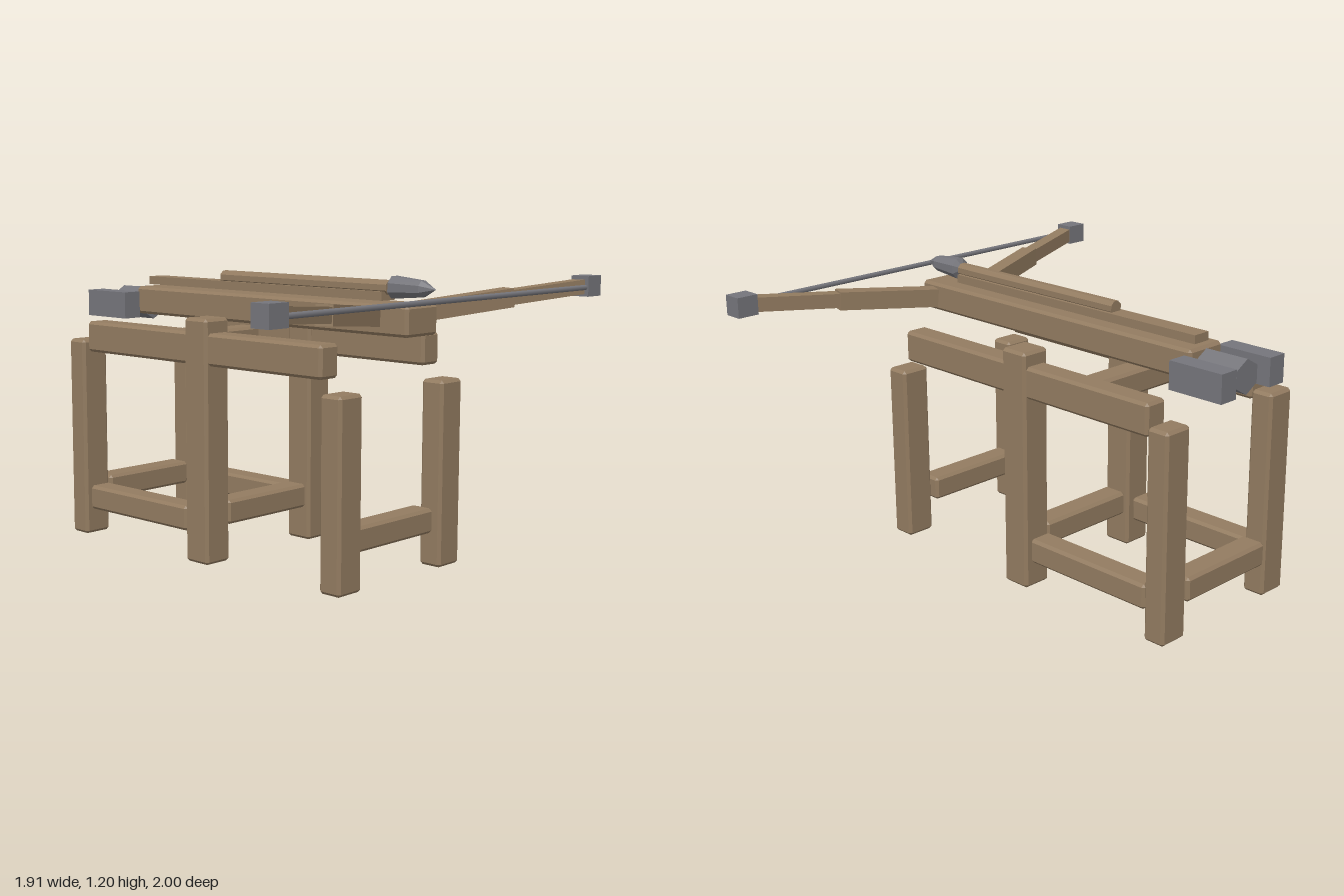
import * as THREE from 'three';
import { ConvexGeometry } from 'three/addons/geometries/ConvexGeometry.js';

export function createModel() {
  const model = new THREE.Group();
  model.name = 'siegeCrossbow';

  const wood = new THREE.MeshStandardMaterial({ color: 0x927b60 });
  wood.name = 'wood';
  const metal = new THREE.MeshStandardMaterial({ color: 0x75757b });
  metal.name = 'metal';

  function add(name, geometry, material, x = 0, y = 0, z = 0) {
    const mesh = new THREE.Mesh(geometry, material);
    mesh.name = name;
    mesh.position.set(x, y, z);
    model.add(mesh);
    return mesh;
  }

  const faceted = (geometry) => {
    const flat = geometry.toNonIndexed();
    flat.computeVertexNormals();
    return flat;
  };

  // Timber with chamfered edges, given by its extents on each axis
  function timber(name, [x0, x1], [y0, y1], [z0, z1], c = 0.012) {
    const half = [(x1 - x0) / 2, (y1 - y0) / 2, (z1 - z0) / 2];
    const points = [];
    for (const sx of [-1, 1]) for (const sy of [-1, 1]) for (const sz of [-1, 1]) {
      for (let full = 0; full < 3; full++) {
        const p = half.map((h, i) => (i === full ? h : h - c));
        points.push(new THREE.Vector3(sx * p[0], sy * p[1], sz * p[2]));
      }
    }
    add(name, new ConvexGeometry(points), wood, (x0 + x1) / 2, (y0 + y1) / 2, (z0 + z1) / 2);
  }

  function block(name, material, [x0, x1], [y0, y1], [z0, z1]) {
    add(name, new THREE.BoxGeometry(x1 - x0, y1 - y0, z1 - z0), material,
      (x0 + x1) / 2, (y0 + y1) / 2, (z0 + z1) / 2);
  }

  // Square bar between two points
  function bar(name, a, b, width, height) {
    const from = new THREE.Vector3(...a), to = new THREE.Vector3(...b);
    const mesh = add(name, new THREE.BoxGeometry(width, height, from.distanceTo(to)), wood);
    mesh.position.copy(from).add(to).multiplyScalar(0.5);
    mesh.lookAt(to);
  }

  // Frame, bow arms and winch blocks, mirrored across the stock
  for (const s of [1, -1]) {
    const side = s > 0 ? 'Left' : 'Right';
    const span = (a, b) => (s > 0 ? [a, b] : [-b, -a]);

    timber('rearLeg' + side, [-0.87, -0.77], [0.005, 0.87], span(0.24, 0.373));
    timber('middleLeg' + side, [-0.13, 0.0], [0, 1.01], span(0.24, 0.373));
    timber('frontLeg' + side, [0.61, 0.715], [0.005, 0.77], span(0.24, 0.373));
    timber('upperRail' + side, [-0.76, 0.605], [0.82, 0.952], span(0.255, 0.36));
    timber('lowerRail' + side, [-0.76, -0.14], [0.12, 0.225], span(0.255, 0.36));

    bar('innerBowArm' + side, [0.665, 1.05, s * 0.14], [0.80, 1.09, s * 0.56], 0.07, 0.077);
    bar('outerBowArm' + side, [0.80, 1.09, s * 0.555], [0.915, 1.122, s * 0.93], 0.058, 0.06);
    block('bowTip' + side, metal, [0.872, 0.955], [1.08, 1.165], span(0.905, 1));
    block('winchBlock' + side, metal, [-0.96, -0.71], [0.955, 1.07], span(0.1, 0.185));
  }

  // Cross beams
  for (const [x0, x1] of [[-0.875, -0.765], [-0.12, -0.01], [0.58, 0.685]]) {
    timber('lowerCrossBeam', [x0, x1], [0.148, 0.25], [-0.237, 0.237]);
  }
  timber('upperCrossBeam', [-0.4, -0.29], [0.82, 0.922], [-0.237, 0.237]);

  // Stock and slider
  timber('stock', [-0.735, 0.8], [0.972, 1.092], [-0.095, 0.095]);
  block('slider', wood, [-0.71, 0.63], [1.1, 1.135], [-0.04, 0.04]);

  // Hexagonal winch drum
  const drum = new THREE.CylinderGeometry(0.07, 0.07, 0.2, 6);
  drum.rotateY(Math.PI / 6).rotateZ(-Math.PI / 2);
  add('winchDrum', faceted(drum), metal, -0.83, 1.012, 0);

  // Bolt shaft and pointed head
  const shaft = new THREE.CylinderGeometry(0.03, 0.03, 0.91, 8);
  shaft.rotateY(Math.PI / 8).rotateZ(-Math.PI / 2);
  add('boltShaft', faceted(shaft), wood, 0.185, 1.15, 0);

  const profile = [[0, 0.63], [0.047, 0.66], [0.034, 0.8], [0, 0.86]]
    .map(([r, x]) => new THREE.Vector2(r, x));
  const head = new THREE.LatheGeometry(profile, 8);
  head.rotateY(Math.PI / 8).rotateZ(-Math.PI / 2);
  add('boltHead', faceted(head), metal, 0, 1.152, 0);

  // Bowstring
  const string = new THREE.CylinderGeometry(0.011, 0.011, 1.84, 8);
  string.rotateX(Math.PI / 2);
  add('bowstring', string, metal, 0.94, 1.118, 0);

  return model;
}
